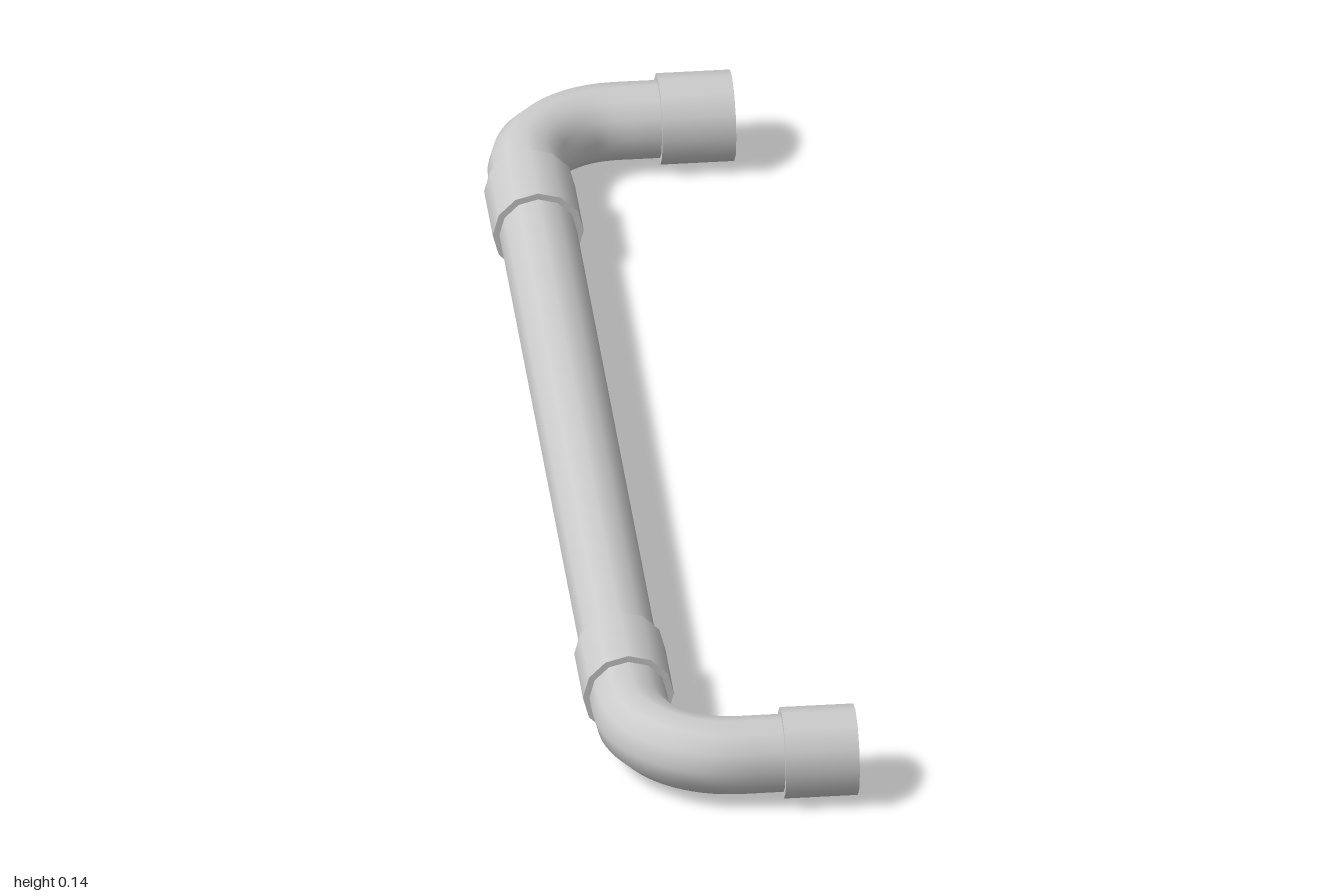
import * as THREE from 'three';

const PIPE = 0.058, COLLAR = 0.068, SIDES = 12;
const BAR_X = -0.127, END_X = 0.193, AXIS_Y = 0.068, END_Z = 0.932, BEND = 0.145;

const material = new THREE.MeshStandardMaterial({ color: 0xcccccc, side: THREE.DoubleSide });

function mesh(name, geometry) {
  const m = new THREE.Mesh(geometry, material);
  m.name = name;
  return m;
}

// Open sleeve along z from 0 to length, with a step ring at each requested end
function sleeve(name, radius, length, ringEnds = []) {
  const group = new THREE.Group();
  group.name = name;
  const wall = new THREE.CylinderGeometry(radius, radius, length, SIDES, 1, true);
  wall.rotateX(Math.PI / 2).translate(0, 0, length / 2);
  group.add(mesh(name + 'Wall', wall));
  for (const end of ringEnds) {
    const ring = new THREE.RingGeometry(PIPE, radius, SIDES);
    if (end === 0) ring.rotateY(Math.PI);
    group.add(mesh(name + 'Step', ring.translate(0, 0, end * length)));
  }
  return group;
}

// Quarter bend with short straight runs into the collars at both ends
function elbow(side) {
  const points = [];
  const add = (x, z) => points.push(new THREE.Vector3(x, 0, side * z));
  const cx = BAR_X + BEND, cz = END_Z - BEND;
  add(BAR_X, 0.72);
  for (let i = 0; i <= 8; i++) {
    const a = (i / 8) * Math.PI / 2;
    add(cx - BEND * Math.cos(a), cz + BEND * Math.sin(a));
  }
  add(0.055, END_Z);
  add(0.09, END_Z);
  const path = new THREE.CatmullRomCurve3(points);
  return mesh('elbow', new THREE.TubeGeometry(path, 28, PIPE, SIDES));
}

export function createModel() {
  const model = new THREE.Group();
  model.name = 'pipeHandle';

  // Long straight pipe
  const bar = sleeve('bar', PIPE, 1.45);
  bar.position.set(BAR_X, AXIS_Y, -0.725);
  model.add(bar);

  for (const side of [1, -1]) {
    // Bend
    const bend = elbow(side);
    bend.position.y = AXIS_Y;
    model.add(bend);

    // Collar joining bar and bend
    const joint = sleeve('jointCollar', COLLAR, 0.13, [0, 1]);
    joint.position.set(BAR_X, AXIS_Y, side > 0 ? 0.613 : -0.747);
    model.add(joint);

    // Open socket at the free end
    const socket = sleeve('endSocket', COLLAR, 0.11, [0]);
    socket.rotation.y = Math.PI / 2;
    socket.position.set(END_X - 0.11, AXIS_Y, side * END_Z);
    model.add(socket);
  }
  return model;
}
